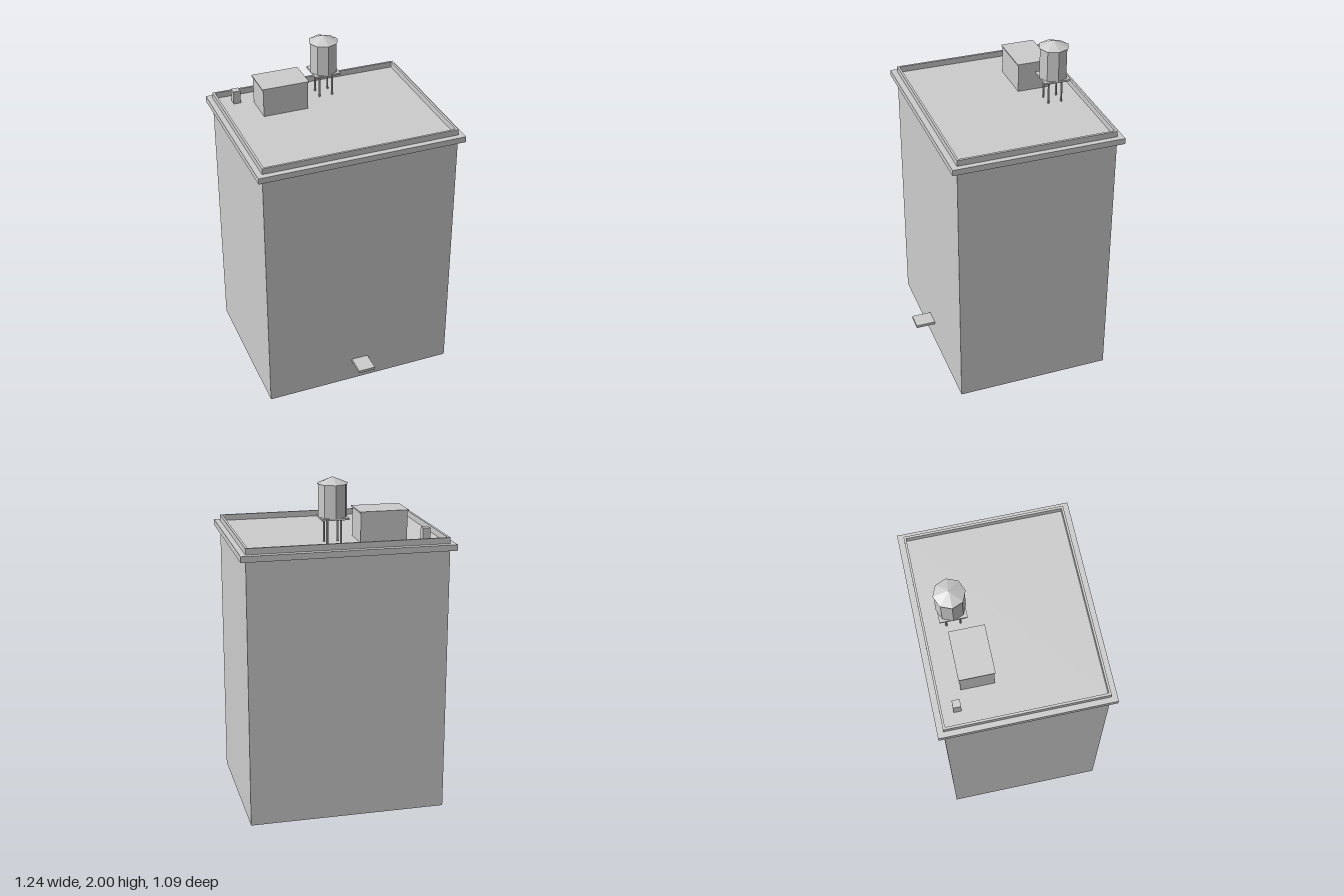
import * as THREE from 'three';

const grey = new THREE.MeshStandardMaterial({ color: 0xcccccc, side: THREE.DoubleSide, flatShading: true });
grey.name = 'plain grey';

export function createModel() {
  const root = new THREE.Group();
  root.name = 'apartmentBlock';
  const centreZ = -0.043;
  const roofY = 1.622;

  function add(name, geometry, x, y, z, parent = root) {
    const mesh = new THREE.Mesh(geometry, grey);
    mesh.name = name;
    mesh.position.set(x, y, z);
    parent.add(mesh);
    return mesh;
  }

  // Box standing on height y
  function box(name, w, h, d, x, y, z, parent) {
    return add(name, new THREE.BoxGeometry(w, h, d), x, y + h / 2, z, parent);
  }

  // Rectangular frame standing on height y
  function frame(name, w, d, innerW, innerD, h, y) {
    const rect = (Type, a, b) => new Type([
      new THREE.Vector2(-a / 2, -b / 2), new THREE.Vector2(a / 2, -b / 2),
      new THREE.Vector2(a / 2, b / 2), new THREE.Vector2(-a / 2, b / 2),
    ]);
    const shape = rect(THREE.Shape, w, d);
    shape.holes.push(rect(THREE.Path, innerW, innerD));
    const geometry = new THREE.ExtrudeGeometry(shape, { depth: h, bevelEnabled: false });
    geometry.rotateX(-Math.PI / 2);
    return add(name, geometry, 0, y, centreZ);
  }

  // Hollow walls: a box without its top and bottom faces
  const walls = new THREE.BoxGeometry(1.172, roofY, 0.934);
  const index = Array.from(walls.index.array);
  walls.setIndex([...index.slice(0, 12), ...index.slice(24)]);
  walls.clearGroups();
  add('walls', walls, 0, roofY / 2, centreZ);

  // Roof deck, cornice and parapet
  const deck = new THREE.PlaneGeometry(1.172, 0.934).rotateX(-Math.PI / 2);
  add('roofDeck', deck, 0, roofY, centreZ);
  frame('cornice', 1.237, 1.004, 1.172, 0.934, 0.035, 1.587);
  frame('parapet', 1.172, 0.934, 1.144, 0.908, 0.035, roofY);

  // Entrance canopy
  box('entranceCanopy', 0.103, 0.018, 0.119, 0, 0.136, 0.4835);

  // Stair house with a thin overhanging lid
  box('stairHouse', 0.274, 0.17, 0.192, -0.235, roofY, -0.276);
  box('stairHouseRoof', 0.286, 0.008, 0.203, -0.235, 1.792, -0.276);

  // Chimney
  box('chimney', 0.044, 0.08, 0.044, -0.469, roofY, -0.412);

  // Water tank on four legs
  const tower = new THREE.Group();
  tower.name = 'waterTower';
  tower.position.set(0.057, 0, -0.334);
  root.add(tower);
  for (const x of [-0.04, 0.04]) {
    for (const z of [-0.04, 0.04]) {
      add('towerLeg', new THREE.CylinderGeometry(0.006, 0.006, 0.144, 6), x, roofY + 0.072, z, tower);
    }
  }
  box('towerPlatform', 0.157, 0.011, 0.157, 0, 1.765, 0, tower);
  add('tank', new THREE.CylinderGeometry(0.084, 0.084, 0.188, 8), 0, 1.869, 0, tower);
  add('tankRoof', new THREE.ConeGeometry(0.09, 0.037, 8), 0, 1.9815, 0, tower);

  return root;
}
